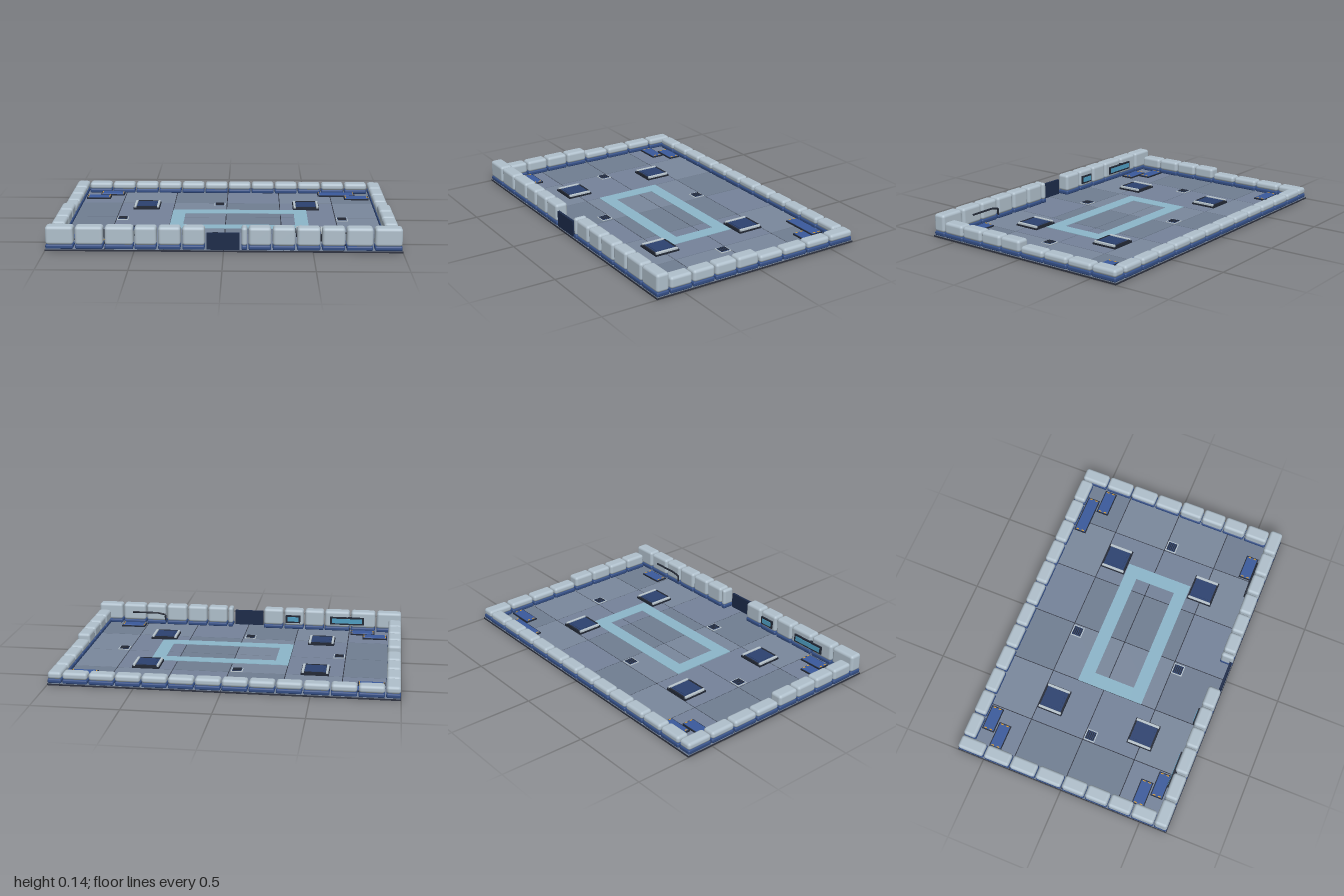
import * as THREE from 'three';
import { RoundedBoxGeometry } from 'three/addons/geometries/RoundedBoxGeometry.js';

const paint = (color) => new THREE.MeshStandardMaterial({ color });
const M = {
  base: paint(0x2f3340), wall: paint(0xb0c0cc), plinth: paint(0x344f86), navy: paint(0x1c2b4a),
  pad: paint(0x2c4270), mat: paint(0x3a5a9c), dark: paint(0x232936), trim: paint(0xb8c4cc),
  cyan: paint(0x8cb6ca), amber: paint(0xe0a030), screen: paint(0x4f9fc4),
  tiles: [paint(0x75839a), paint(0x707e92), paint(0x7a889c)],
};
const FLOOR = 0.012;

// Box given by its extents on each axis; r > 0 rounds the edges
function block(parent, name, mat, [x0, x1], [y0, y1], [z0, z1], r = 0) {
  const w = x1 - x0, h = y1 - y0, d = z1 - z0;
  const geo = r ? new RoundedBoxGeometry(w, h, d, 3, Math.min(r, w / 2.1, h / 2.1, d / 2.1))
    : new THREE.BoxGeometry(w, h, d);
  const mesh = new THREE.Mesh(geo, mat);
  mesh.position.set((x0 + x1) / 2, (y0 + y1) / 2, (z0 + z1) / 2);
  mesh.name = name;
  parent.add(mesh);
  return mesh;
}

function group(parent, name, x = 0, z = 0) {
  const g = new THREE.Group();
  g.name = name;
  g.position.set(x, 0, z);
  parent.add(g);
  return g;
}

// Wall stone on its blue plinth
function wallStone(parent, xs, zs, top) {
  block(parent, 'plinth', M.plinth, xs, [0.01, 0.036], zs, 0.009);
  block(parent, 'wallBlock', M.wall, xs, [0.034, top], zs, 0.017);
}

// Raised floor pad with pale side rails
function floorPad(parent, x, z) {
  const g = group(parent, 'floorPad', x, z);
  block(g, 'padBase', M.dark, [-0.082, 0.082], [0.01, 0.022], [-0.078, 0.078]);
  block(g, 'padTop', M.pad, [-0.062, 0.062], [0.01, 0.028], [-0.068, 0.068]);
  block(g, 'padPlate', M.pad, [-0.05, 0.05], [0.02, 0.031], [-0.055, 0.055]);
  for (const s of [-1, 1]) {
    const rail = block(g, 'padRail', M.trim, [-0.007, 0.007], [0.012, 0.034], [-0.072, 0.072], 0.003);
    rail.position.x = s * 0.071;
    const lip = block(g, 'padLip', M.dark, [-0.062, 0.062], [0.012, 0.03], [-0.005, 0.005]);
    lip.position.z = s * 0.072;
  }
}

// Small square grate with slats
function vent(parent, x, z) {
  const g = group(parent, 'vent', x, z);
  block(g, 'ventFrame', M.trim, [-0.034, 0.034], [0.008, 0.016], [-0.034, 0.034]);
  block(g, 'ventWell', M.pad, [-0.028, 0.028], [0.008, 0.0175], [-0.028, 0.028]);
  for (let i = -2; i <= 2; i++)
    block(g, 'ventSlat', M.dark, [-0.025, 0.025], [0.012, 0.02], [i * 0.011 - 0.0025, i * 0.011 + 0.0025]);
}

// Flat blue plate with amber dashes at both ends
function plate(parent, x0, x1, z) {
  const g = group(parent, 'cornerPlate', (x0 + x1) / 2, z);
  const w = (x1 - x0) / 2;
  block(g, 'plateEdge', M.dark, [-w, w], [0.01, 0.02], [-0.038, 0.038]);
  block(g, 'plateTop', M.mat, [-w + 0.005, w - 0.005], [0.012, 0.024], [-0.033, 0.033], 0.003);
  for (const sx of [-1, 1]) for (const sz of [-1, 1]) {
    const dash = block(g, 'plateDash', M.amber, [-0.003, 0.003], [0.02, 0.0255], [-0.008, 0.008]);
    dash.position.x = sx * (w - 0.009);
    dash.position.z = sz * 0.017;
  }
}

// Framed screen on the inside of the front wall
function wallScreen(parent, x0, x1, y0, y1) {
  const g = group(parent, 'wallScreen');
  block(g, 'screenFrame', M.dark, [x0, x1], [y0, y1], [0.578, 0.6]);
  block(g, 'screenGlass', M.screen, [x0 + 0.012, x1 - 0.012], [y0 + 0.01, y1 - 0.01], [0.575, 0.59]);
}

export function createModel() {
  const model = new THREE.Group();
  model.name = 'walledPlatform';

  // Base slab and tiled floor
  block(model, 'baseSlab', M.base, [-1, 1], [0, 0.009], [-0.667, 0.667]);
  const floor = group(model, 'floor');
  for (let i = 0; i < 6; i++) for (let j = 0; j < 4; j++) {
    const x = -1 + i / 3, z = -2 / 3 + j / 3, g = 0.0025;
    block(floor, 'floorTile', M.tiles[(i * 2 + j * j) % 3],
      [x + g, x + 1 / 3 - g], [0.006, FLOOR], [z + g, z + 1 / 3 - g]);
  }

  // Back wall: twelve equal low stones
  const back = group(model, 'backWall');
  for (let i = 0; i < 12; i++) {
    const x = -0.915 + i * 0.1525;
    wallStone(back, [x + 0.004, x + 0.1485], [-0.665, -0.588], 0.077);
  }

  // Side walls: four low stones behind, four taller ones in front
  for (const s of [-1, 1]) {
    const side = group(model, s > 0 ? 'leftWall' : 'rightWall');
    const xs = s > 0 ? [0.918, 0.998] : [-0.998, -0.918];
    for (let i = 0; i < 4; i++) {
      const zb = -0.665 + i * 0.1665, zf = 0.003 + i * 0.1455;
      wallStone(side, xs, [zb + 0.003, zb + 0.1615], 0.077);
      wallStone(side, xs, [zf + 0.003, zf + 0.141], 0.103);
    }
  }

  // Front wall: tall stones either side of the doorway
  const front = group(model, 'frontWall');
  const stones = [
    [-0.998, -0.841], [-0.831, -0.675], [-0.665, -0.505], [-0.498, -0.375], [-0.365, -0.24], [-0.23, -0.105],
    [0.1, 0.132], [0.14, 0.265], [0.275, 0.4], [0.41, 0.54], [0.55, 0.678], [0.686, 0.833], [0.843, 0.997],
  ];
  for (const xs of stones) wallStone(front, xs, [0.587, 0.665], 0.14);
  block(front, 'door', M.navy, [-0.094, 0.09], [0.01, 0.108], [0.648, 0.662]);

  // Fittings on the inner face of the front wall
  wallScreen(front, -0.76, -0.54, 0.055, 0.105);
  wallScreen(front, -0.345, -0.25, 0.055, 0.105);
  const path = new THREE.CurvePath();
  const pts = [[0.77, 0.09], [0.6, 0.09], [0.55, 0.08], [0.55, 0.04]].map(([x, y]) => new THREE.Vector3(x, y, 0.581));
  for (let i = 0; i < 3; i++) path.add(new THREE.LineCurve3(pts[i], pts[i + 1]));
  const pipe = new THREE.Mesh(new THREE.TubeGeometry(path, 24, 0.006, 8), M.dark);
  pipe.name = 'wallPipe';
  front.add(pipe);

  // Pale floor marking
  const marking = group(model, 'floorMarking');
  const my = [0.009, 0.0145];
  block(marking, 'stripe', M.cyan, [-0.333, 0.497], my, [-0.17, -0.09]);
  block(marking, 'stripe', M.cyan, [-0.333, 0.497], my, [0.163, 0.243]);
  block(marking, 'stripe', M.cyan, [-0.333, -0.253], my, [-0.09, 0.163]);
  block(marking, 'stripe', M.cyan, [0.417, 0.497], my, [-0.09, 0.163]);

  for (const x of [-0.503, 0.497]) for (const z of [-0.253, 0.327]) floorPad(model, x, z);
  for (const [x, z] of [[-0.045, -0.295], [-0.045, 0.37], [-0.628, 0.037], [0.705, 0.037]]) vent(model, x, z);

  // Corner plates: x start, x end, z centre
  for (const p of [
    [-0.83, -0.677, -0.547], [-0.912, -0.757, -0.463], [0.587, 0.828, -0.547], [0.755, 0.912, -0.463],
    [-0.912, -0.757, 0.453], [-0.83, -0.677, 0.537], [0.674, 0.827, 0.537],
  ]) plate(model, ...p);

  return model;
}
